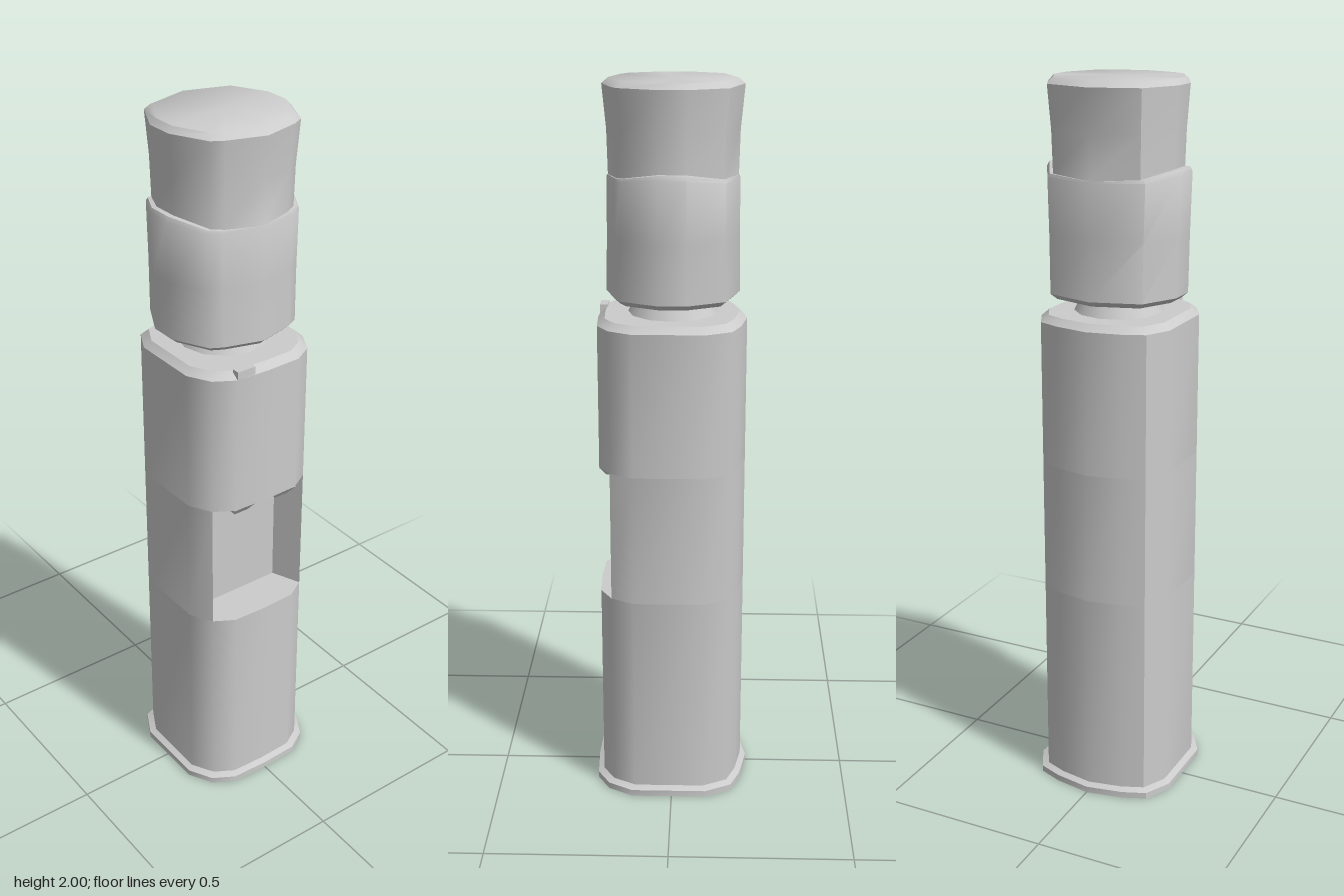
import * as THREE from 'three';
import { toCreasedNormals } from 'three/addons/utils/BufferGeometryUtils.js';

const material = new THREE.MeshStandardMaterial({ color: 0xcccccc, side: THREE.DoubleSide });

// Half outlines as [x, z], from the back middle round +x to the front middle
const mirrored = (half) => [
  ...half,
  ...half.slice(1, -1).reverse().map(([x, z]) => [-x, z]),
];
const sideHalf = [[0, -0.2], [0.095, -0.182], [0.155, -0.158], [0.19, -0.09], [0.19, 0.105], [0.155, 0.168]];
const frontHalf = [[0.1, 0.2], [0.0, 0.204]];
const bodyOutline = mirrored([...sideHalf, ...frontHalf]);
const nicheOutline = mirrored([...sideHalf, [0.12, 0.085], [0, 0.085]]);
const bottleOutline = mirrored([
  [0, -1], [0.72, -0.78], [1, -0.22], [1, 0.2], [0.74, 0.74], [0.56, 0.84], [0, 1],
]);

// Skin through scaled copies of an outline; each level is [y, scaleX, scaleZ, wave]
function loft(outline, levels, crease) {
  const n = outline.length, pos = [], index = [];
  for (const [y, sx, sz, wave = 0] of levels)
    for (const [x, z] of outline) pos.push(x * sx, y - wave * Math.abs(z), z * sz);
  for (let k = 0; k < levels.length - 1; k++)
    for (let i = 0; i < n; i++) {
      const a = k * n + i, b = k * n + (i + 1) % n;
      index.push(a, a + n, b, b, a + n, b + n);
    }
  const g = new THREE.BufferGeometry();
  g.setAttribute('position', new THREE.Float32BufferAttribute(pos, 3));
  g.setIndex(index);
  return toCreasedNormals(g, crease);
}

export function createModel() {
  const model = new THREE.Group();
  model.name = 'waterCooler';
  const add = (name, geometry, x = 0, y = 0, z = 0) => {
    const mesh = new THREE.Mesh(geometry, material);
    mesh.name = name;
    mesh.position.set(x, y, z);
    model.add(mesh);
    return mesh;
  };

  // Cabinet: hollow below, recessed in the middle, bevelled at the top
  add('basePlinth', loft(bodyOutline, [
    [0, 0.97, 0.97], [0, 1.09, 1.08], [0.018, 1.09, 1.08], [0.026, 1, 1],
  ], 0.62));
  add('lowerCabinet', loft(bodyOutline, [[0, 1, 1], [0.6, 1, 1]], 0.62));
  add('middleCabinet', loft(nicheOutline, [[0.6, 1, 1], [0.97, 1, 1]], 0.62));
  add('upperCabinet', loft(bodyOutline, [
    [0.97, 1, 1], [1.367, 1, 1], [1.385, 0.9, 0.9], [1.385, 0, 0],
  ], 0.62));

  // Floor and ceiling of the dispensing niche
  const ledge = new THREE.Shape([
    [0.12, 0.085], [0.155, 0.168], [0.1, 0.2], [0, 0.204],
    [-0.1, 0.2], [-0.155, 0.168], [-0.12, 0.085],
  ].map(([x, z]) => new THREE.Vector2(x, z)));
  for (const [name, y] of [['nicheFloor', 0.6], ['nicheCeiling', 0.97]])
    add(name, new THREE.ShapeGeometry(ledge).rotateX(Math.PI / 2), 0, y);

  // Two taps hanging from the niche ceiling, tapering downwards
  for (const side of [-1, 1]) {
    const tap = new THREE.BoxGeometry(0.072, 0.026, 0.08);
    const p = tap.attributes.position;
    for (let i = 0; i < p.count; i++)
      if (p.getY(i) < 0) {
        p.setX(i, p.getX(i) * 0.6);
        if (p.getZ(i) > 0) p.setZ(i, 0.02);
      }
    tap.computeVertexNormals();
    add(side > 0 ? 'leftTap' : 'rightTap', tap, side * 0.069, 0.957, 0.161);
  }

  // Small switch on the front rim
  add('switch', new THREE.BoxGeometry(0.056, 0.022, 0.022), -0.07, 1.379, 0.191);

  // Bottle neck
  add('bottleNeck', new THREE.CylinderGeometry(0.097, 0.123, 0.05, 12, 1, true), 0, 1.408, 0);

  // Bottle: wide lower half with a curved shoulder, slightly flared upper half
  add('bottle', loft(bottleOutline, [
    [1.427, 0, 0], [1.427, 0.168, 0.163], [1.442, 0.186, 0.18],
    [1.6, 0.189, 0.177], [1.768, 0.194, 0.176, 0.022],
    [1.782, 0.187, 0.174, 0.03], [1.782, 0.173, 0.172, 0.03],
    [1.87, 0.176, 0.175], [1.985, 0.184, 0.186], [2, 0.17, 0.168], [2, 0, 0],
  ], 0.8));

  return model;
}
